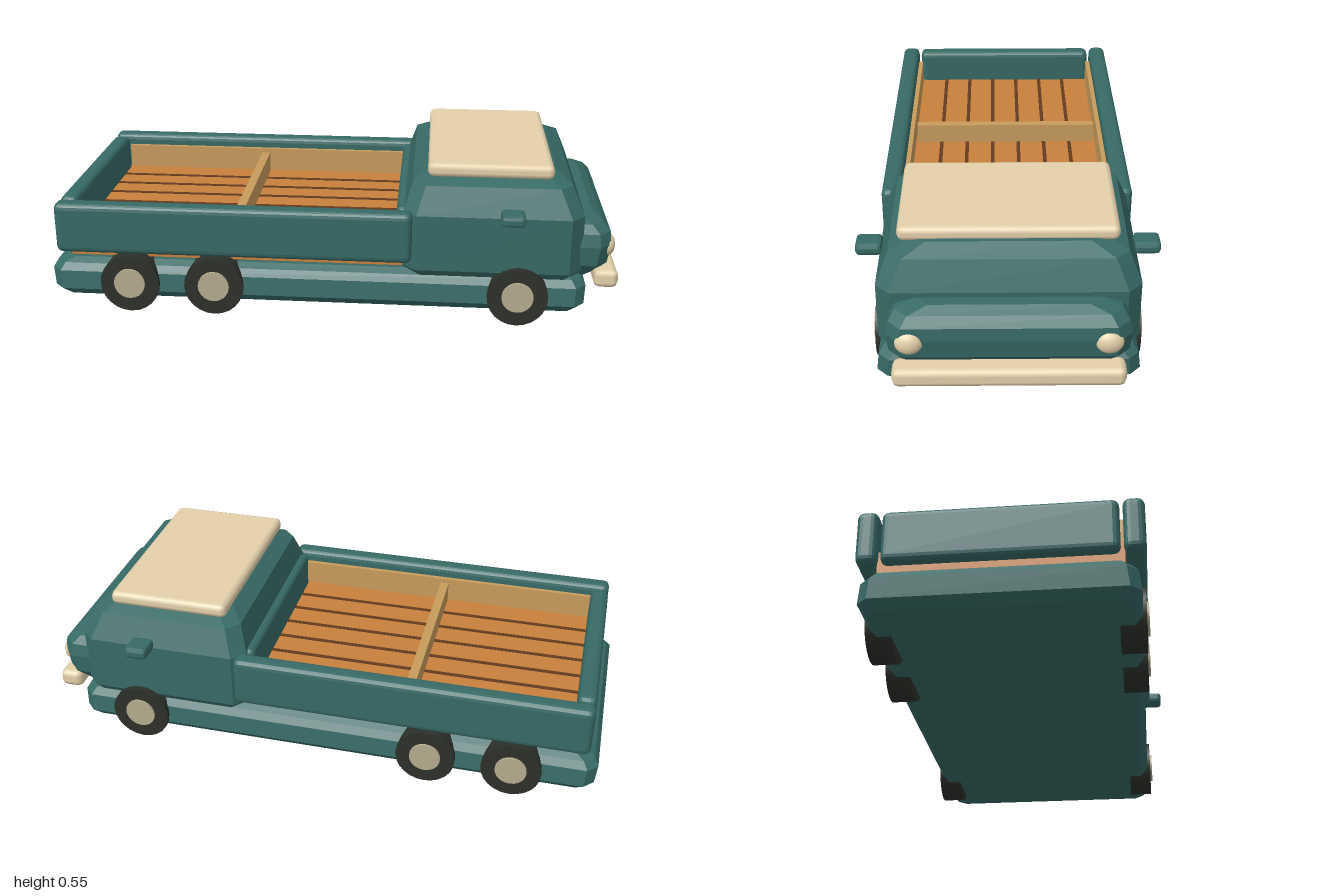
import * as THREE from 'three';
import { RoundedBoxGeometry } from 'three/addons/geometries/RoundedBoxGeometry.js';

const mat = (name, color, flatShading = false) =>
  Object.assign(new THREE.MeshStandardMaterial({ color, flatShading }), { name });

export function createModel() {
  const truck = new THREE.Group();
  truck.name = 'truck';
  const teal = mat('teal paint', 0x376a66, true);
  const cream = mat('cream trim', 0xe4d1ab);
  const wood = mat('plank wood', 0xc8803c);
  const groove = mat('dark groove', 0x643c1e);
  const paleWood = mat('pale wood', 0xc89c5c);
  const rubber = mat('tyre rubber', 0x2c302a);
  const hubcap = mat('hubcap', 0xb5ac8f);

  const add = (name, geometry, material, x = 0, y = 0, z = 0) => {
    const mesh = new THREE.Mesh(geometry, material);
    mesh.name = name;
    mesh.position.set(x, y, z);
    truck.add(mesh);
    return mesh;
  };

  // Boxes given by their limits along each axis
  const block = (name, material, [x0, x1], [y0, y1], [z0, z1], radius = 0, segments = 2) => {
    const size = [x1 - x0, y1 - y0, z1 - z0];
    const geometry = radius
      ? new RoundedBoxGeometry(...size, segments, radius)
      : new THREE.BoxGeometry(...size);
    return add(name, geometry, material, (x0 + x1) / 2, (y0 + y1) / 2, (z0 + z1) / 2);
  };

  // Body shell through chamfered rectangles: [y, back x, front x, half width, chamfer]
  const shell = (name, rings) => {
    const pos = [], index = [], n = 8;
    for (const [y, x0, x1, w, c] of rings) {
      const outline = [
        [x1, w - c], [x1, c - w], [x1 - c, -w], [x0 + c, -w],
        [x0, c - w], [x0, w - c], [x0 + c, w], [x1 - c, w],
      ];
      for (const [x, z] of outline) pos.push(x, y, z);
    }
    for (let i = 0; i < rings.length - 1; i++) {
      for (let j = 0; j < n; j++) {
        const a = i * n + j, b = i * n + (j + 1) % n;
        index.push(a, b, b + n, a, b + n, a + n);
      }
    }
    const top = (rings.length - 1) * n;
    for (let j = 1; j < n - 1; j++) {
      index.push(0, j + 1, j, top, top + j, top + j + 1);
    }
    const indexed = new THREE.BufferGeometry();
    indexed.setAttribute('position', new THREE.Float32BufferAttribute(pos, 3));
    indexed.setIndex(index);
    const geometry = indexed.toNonIndexed();
    geometry.computeVertexNormals();
    return add(name, geometry, teal);
  };

  // Chassis, cab and nose
  shell('chassis', [
    [0.047, -0.96, 0.855, 0.402, 0.03],
    [0.075, -0.993, 0.882, 0.426, 0.035],
    [0.14, -1, 0.885, 0.418, 0.035],
    [0.165, -0.985, 0.87, 0.4, 0.035],
    [0.18, -0.95, 0.845, 0.375, 0.03],
  ]);
  shell('cab', [
    [0.165, 0.265, 0.85, 0.4, 0.045],
    [0.19, 0.25, 0.867, 0.418, 0.045],
    [0.39, 0.25, 0.867, 0.418, 0.045],
    [0.487, 0.28, 0.825, 0.378, 0.045],
    [0.518, 0.335, 0.772, 0.3, 0.04],
  ]);
  shell('nose', [
    [0.158, 0.8, 0.915, 0.34, 0.04],
    [0.21, 0.8, 0.957, 0.378, 0.04],
    [0.28, 0.8, 0.967, 0.384, 0.04],
    [0.325, 0.8, 0.963, 0.374, 0.04],
    [0.355, 0.8, 0.937, 0.354, 0.04],
    [0.374, 0.8, 0.905, 0.29, 0.04],
  ]);
  block('roofPanel', cream, [0.33, 0.76], [0.506, 0.556], [-0.351, 0.351], 0.02, 1);
  block('bumper', cream, [0.915, 1], [0.12, 0.186], [-0.367, 0.367], 0.022, 1);

  // Load bed floor with plank grooves
  block('bedFloor', wood, [-0.93, 0.25], [0.19, 0.27], [-0.38, 0.38]);
  for (let i = 0; i < 6; i++) {
    const z = (i - 2.5) * 0.1025;
    block('plankGroove', groove, [-0.91, 0.23], [0.268, 0.273], [z - 0.007, z + 0.007]);
  }
  block('bedDivider', paleWood, [-0.35, -0.318], [0.26, 0.347], [-0.352, 0.352]);
  block('tailgate', teal, [-0.965, -0.9], [0.22, 0.4], [-0.367, 0.367], 0.022);
  block('headboard', teal, [0.225, 0.285], [0.22, 0.4], [-0.367, 0.367], 0.022);

  // Mirrored side parts
  for (const s of [1, -1]) {
    const side = (a, b) => (s > 0 ? [a, b] : [-b, -a]);
    block('bedSide', teal, [-0.965, 0.282], [0.22, 0.402], side(0.377, 0.445), 0.022);
    block('bedLiner', paleWood, [-0.9, 0.23], [0.26, 0.36], side(0.36, 0.382));
    block('mirror', teal, [0.58, 0.66], [0.386, 0.427], side(0.41, 0.497), 0.013, 1);

    const lamp = add('headlight', new THREE.SphereGeometry(0.045, 20, 14), cream, 0.955, 0.268, s * 0.31);
    lamp.scale.set(0.65, 0.92, 1);

    for (const x of [-0.71, -0.41, 0.65]) {
      const tyre = add('tyre', new THREE.CylinderGeometry(0.105, 0.105, 0.083, 24), rubber, x, 0.107, s * 0.3965);
      const hub = add('wheelHub', new THREE.CylinderGeometry(0.055, 0.055, 0.06, 20), hubcap, x, 0.11, s * 0.416);
      tyre.rotation.x = hub.rotation.x = Math.PI / 2;
    }
  }
  return truck;
}
